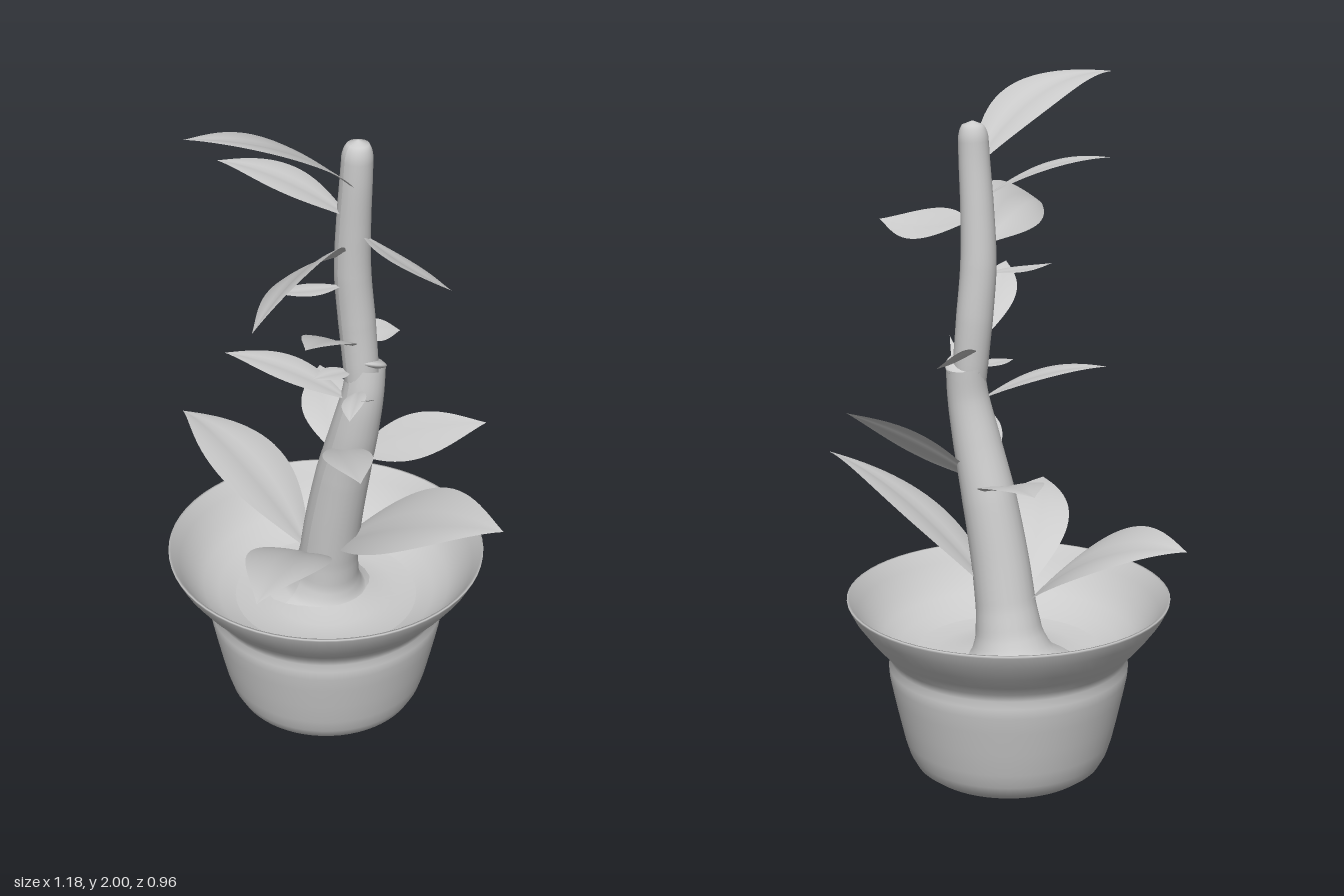
import * as THREE from 'three';

const grey = new THREE.MeshStandardMaterial({ color: 0xcccccc, side: THREE.DoubleSide });
const V = (a) => new THREE.Vector3(...a);

function add(group, name, geometry) {
  const mesh = new THREE.Mesh(geometry, grey);
  mesh.name = name;
  group.add(mesh);
  return mesh;
}

// Tapered tube: each node is [x, y, z, radius]
function taperedTube(nodes, rings, sides) {
  const curve = new THREE.CatmullRomCurve3(nodes.map((n) => V(n.slice(0, 3))));
  const geo = new THREE.TubeGeometry(curve, rings, 1, sides);
  const pos = geo.attributes.position;
  const lengths = curve.getLengths(400);
  const total = lengths[400];
  const stops = nodes.map((n, i) => lengths[Math.round((i / (nodes.length - 1)) * 400)] / total);
  const p = new THREE.Vector3();
  for (let i = 0; i <= rings; i++) {
    const u = i / rings;
    const centre = curve.getPointAt(u);
    let k = 0;
    while (k < nodes.length - 2 && u > stops[k + 1]) k++;
    const f = (u - stops[k]) / (stops[k + 1] - stops[k]);
    const r = THREE.MathUtils.lerp(nodes[k][3], nodes[k + 1][3], f);
    for (let j = 0; j <= sides; j++) {
      const id = i * (sides + 1) + j;
      p.fromBufferAttribute(pos, id).sub(centre).multiplyScalar(r).add(centre);
      pos.setXYZ(id, p.x, p.y, p.z);
    }
  }
  geo.computeVertexNormals();
  return geo;
}

// Pointed leaf swept along an arched midrib, gently folded along the middle
function leafGeometry([base, tip, width, arch, roll = 0, bend = 0]) {
  const a = V(base), b = V(tip);
  const axis = b.clone().sub(a).normalize();
  const side = axis.clone().cross(new THREE.Vector3(0, 1, 0)).normalize();
  const mid = a.clone().lerp(b, 0.5).addScaledVector(side, bend * 2);
  mid.y += arch * 2;
  const rib = new THREE.QuadraticBezierCurve3(a, mid, b);
  side.applyAxisAngle(axis, roll);
  const rows = 24, cols = 8;
  const geo = new THREE.PlaneGeometry(1, 1, cols, rows);
  const pos = geo.attributes.position;
  for (let i = 0; i <= rows; i++) {
    const t = i / rows;
    const centre = rib.getPoint(t);
    const normal = side.clone().cross(rib.getTangent(t)).normalize();
    const half = (width / 2) * (Math.pow(Math.sin(Math.PI * Math.pow(t, 0.9)), 1.1) + 0.08 * (1 - t));
    for (let j = 0; j <= cols; j++) {
      const s = (j / cols) * 2 - 1;
      const p = centre.clone().addScaledVector(side, s * half)
        .addScaledVector(normal, half * (0.2 * Math.abs(s) - 0.16 * s * s));
      pos.setXYZ(i * (cols + 1) + j, p.x, p.y, p.z);
    }
  }
  geo.computeVertexNormals();
  return geo;
}

export function createModel() {
  const model = new THREE.Group();
  model.name = 'pottedPlant';

  // Pot with flared rim
  const potProfile = [
    [0, 0.002], [0.12, 0.005], [0.2, 0.012], [0.245, 0.022], [0.272, 0.042], [0.29, 0.075],
    [0.304, 0.12], [0.32, 0.19], [0.335, 0.26], [0.345, 0.31], [0.347, 0.34], [0.342, 0.362],
    [0.35, 0.385], [0.376, 0.415], [0.41, 0.455], [0.445, 0.503], [0.464, 0.54], [0.465, 0.547],
    [0.458, 0.547], [0.435, 0.505], [0.4, 0.455], [0.365, 0.42], [0.32, 0.393], [0.27, 0.375],
  ].map((p) => new THREE.Vector2(...p));
  const pot = add(model, 'pot', new THREE.LatheGeometry(potProfile, 64));
  pot.position.set(-0.033, 0, -0.015);

  // Soil, rising a little toward the trunk
  const soilProfile = [[0.275, 0.376], [0.22, 0.365], [0.16, 0.367], [0.1, 0.38], [0, 0.4]]
    .map((p) => new THREE.Vector2(...p));
  add(model, 'soil', new THREE.LatheGeometry(soilProfile, 48)).position.copy(pot.position);

  // Lower trunk with a flared foot, cut off at the bend
  add(model, 'lowerTrunk', taperedTube([
    [-0.062, 0.355, -0.03, 0.175], [-0.058, 0.39, -0.03, 0.118], [-0.05, 0.44, -0.03, 0.097],
    [-0.035, 0.52, -0.028, 0.087], [-0.01, 0.65, -0.026, 0.083], [0.03, 0.83, -0.03, 0.078],
    [0.075, 1.0, -0.036, 0.068], [0.098, 1.12, -0.045, 0.059], [0.1, 1.21, -0.055, 0.054],
  ], 56, 24));
  const cut = add(model, 'cutEnd', new THREE.SphereGeometry(0.057, 24, 12));
  cut.position.set(0.1, 1.215, -0.055);
  cut.scale.y = 0.25;
  cut.rotation.set(-0.4, 0, 0.25);

  // Upper stem with blunt tip
  add(model, 'upperStem', taperedTube([
    [0.1, 1.1, -0.043, 0.045], [0.092, 1.22, -0.04, 0.05], [0.083, 1.35, -0.033, 0.052],
    [0.08, 1.5, -0.02, 0.051], [0.09, 1.65, -0.014, 0.047], [0.102, 1.78, -0.012, 0.044],
    [0.106, 1.855, -0.013, 0.042], [0.107, 1.882, -0.014, 0.034], [0.107, 1.894, -0.014, 0.02],
    [0.107, 1.897, -0.014, 0.001],
  ], 70, 24));

  // Leaves: base, tip, width, arch, roll, sideways bend
  const leaves = [
    // around the foot
    [[-0.08, 0.53, 0.02], [-0.59, 0.785, 0.107], 0.28, 0.07, 0.22],
    [[-0.02, 0.54, -0.04], [0.587, 0.875, -0.148], 0.27, 0.06, 0.3],
    [[-0.03, 0.53, 0.03], [0.28, 0.725, 0.46], 0.22, 0.06],
    // middle of the trunk
    [[0.0, 0.855, -0.05], [-0.325, 0.955, -0.215], 0.17, 0.025],
    [[0.05, 0.89, -0.06], [0.36, 1.065, -0.275], 0.13, 0.01, 0.8],
    [[0.04, 0.93, 0.0], [0.35, 1.03, 0.16], 0.13, 0.02],
    [[0.08, 1.11, 0.0], [-0.19, 1.21, 0.22], 0.13, 0.025],
    [[0.09, 1.28, 0.0], [0.26, 1.44, 0.275], 0.13, 0.025],
    // upper stem
    [[0.08, 1.56, 0.01], [0.31, 1.58, 0.477], 0.18, 0.055, 0.65],
    [[0.11, 1.62, -0.03], [0.445, 1.585, -0.057], 0.14, -0.012, -0.5],
    [[0.09, 1.68, 0.01], [-0.185, 1.8, 0.23], 0.15, 0.03],
    [[0.12, 1.77, 0.01], [0.022, 1.997, 0.467], 0.22, 0.06, 0.1, -0.05],
    // small young leaves
    [[0.08, 1.47, 0.02], [0.01, 1.48, 0.205], 0.07, -0.005],
    [[0.14, 1.13, -0.01], [0.3, 1.24, 0.08], 0.03, -0.005],
    [[0.03, 1.27, -0.08], [0.05, 1.24, -0.215], 0.065, 0.005, 0.75],
    [[0.12, 1.15, -0.01], [0.21, 1.13, 0.09], 0.07, 0.01, 0.4],
    [[0.09, 1.2, -0.01], [0.07, 1.205, 0.11], 0.07, 0.003],
  ];
  const foliage = new THREE.Group();
  foliage.name = 'foliage';
  leaves.forEach((leaf, i) => add(foliage, `leaf${i + 1}`, leafGeometry(leaf)));
  model.add(foliage);

  return model;
}
